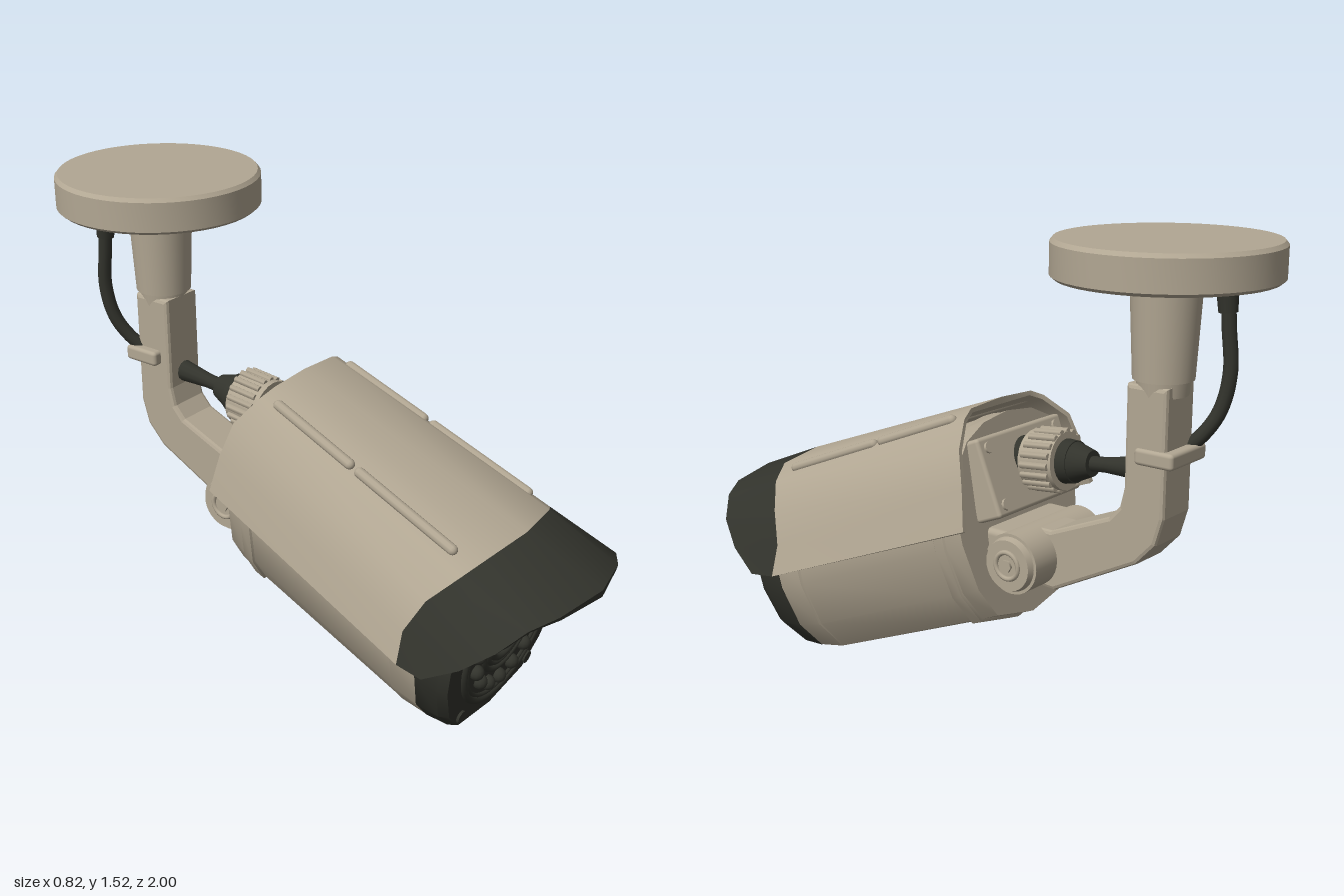
import * as THREE from 'three';
import { toCreasedNormals } from 'three/addons/utils/BufferGeometryUtils.js';
import { RoundedBoxGeometry } from 'three/addons/geometries/RoundedBoxGeometry.js';

const V = (x, y, z) => new THREE.Vector3(x, y, z);
const material = (name, color) => {
  const m = new THREE.MeshStandardMaterial({ color });
  m.name = name;
  return m;
};

// Skin through rings of equal even length, counter-clockwise seen from +z, ordered rear to front
function loft(rings, crease = 0.6) {
  const n = rings[0].length, pos = [], idx = [];
  rings.forEach(r => r.forEach(p => pos.push(p.x, p.y, p.z)));
  for (let i = 0; i < rings.length - 1; i++) {
    for (let j = 0; j < n; j++) {
      const a = i * n + j, b = i * n + (j + 1) % n;
      idx.push(a, b, b + n, a, b + n, a + n);
    }
  }
  const f = (rings.length - 1) * n;
  for (let k = 0; k < n / 2 - 1; k++) {
    const a = k, b = k + 1, c = n - 2 - k, d = n - 1 - k;
    idx.push(a, c, b, a, d, c);
    idx.push(f + a, f + b, f + c, f + a, f + c, f + d);
  }
  const g = new THREE.BufferGeometry();
  g.setAttribute('position', new THREE.Float32BufferAttribute(pos, 3));
  g.setIndex(idx);
  g.computeVertexNormals();
  return toCreasedNormals(g, crease);
}

// Housing cross-section: leaning slice centred on the sloping axis
const HALF = [[0, -1], [0.58, -0.9], [0.82, -0.62], [0.97, -0.2], [1, 0.1], [0.93, 0.5], [0.7, 0.8], [0.4, 0.95], [0, 1]];
function slice([z, rx, down, up]) {
  const full = [...HALF, ...HALF.slice(1, -1).reverse().map(([x, y]) => [-x, y])];
  const cy = 0.598 - 0.414 * z;
  return full.map(([x, y]) => {
    const dy = y * (y < 0 ? down : up);
    return V(x * rx, cy + dy, z + 0.17 * dy);
  });
}

// Shroud edge: half a curve mirrored, closed by an inner skin
function shellRing(half) {
  const right = half.slice().reverse();
  const outer = [...right, ...half.slice(1).map(([x, y, z]) => [-x, y, z])];
  const inner = outer.slice().reverse().map(([x, y, z]) => [x * 0.95, y - 0.022 * (1 - Math.abs(x) / 0.42), z]);
  return [...outer, ...inner].map(p => V(...p));
}

export function createModel() {
  const root = new THREE.Group();
  root.name = 'securityCamera';
  const tan = material('warm grey paint', 0xb2a793);
  const dark = material('dark plastic', 0x32332c);
  const glass = material('lens glass', 0x44453d);

  const add = (name, geo, mat, parent = root) => {
    const m = new THREE.Mesh(geo, mat);
    m.name = name;
    parent.add(m);
    return m;
  };
  // Cylinder running from p (radius r1) to q (radius r2)
  const rod = (name, p, q, r1, r2, mat, parent = root, seg = 24) => {
    const m = add(name, new THREE.CylinderGeometry(r2, r1, p.distanceTo(q), seg), mat, parent);
    m.position.copy(p).lerp(q, 0.5);
    m.quaternion.setFromUnitVectors(V(0, 1, 0), q.clone().sub(p).normalize());
    return m;
  };

  // Ceiling plate and tapered post
  const PZ = -0.665;
  const plate = [[0, 1.41], [0.318, 1.41], [0.33, 1.42], [0.33, 1.513], [0.32, 1.525], [0, 1.525]].map(p => new THREE.Vector2(...p));
  add('ceilingPlate', toCreasedNormals(new THREE.LatheGeometry(plate, 48), 0.6), tan).position.z = PZ;
  for (let i = 0; i < 3; i++) {
    const a = i * Math.PI * 2 / 3 + Math.PI / 2, x = 0.25 * Math.cos(a), z = PZ + 0.25 * Math.sin(a);
    rod('plateScrew', V(x, 1.402, z), V(x, 1.415, z), 0.02, 0.02, tan, root, 12);
  }
  rod('post', V(0, 1.125, PZ), V(0, 1.415, PZ), 0.09, 0.105, tan);
  rod('postNeck', V(0, 1.08, PZ), V(0, 1.13, PZ), 0.075, 0.08, tan);

  // Bent arm
  const side = [[-0.26, 0.44], [-0.34, 0.435], [-0.63, 0.585], [-0.69, 0.65], [-0.713, 0.73], [-0.713, 1.1],
    [-0.6, 1.1], [-0.6, 0.8], [-0.585, 0.735], [-0.545, 0.69], [-0.33, 0.6], [-0.26, 0.6]];
  const arm = new THREE.ExtrudeGeometry(new THREE.Shape(side.map(p => new THREE.Vector2(...p))),
    { depth: 0.126, bevelEnabled: true, bevelSize: 0.012, bevelThickness: 0.012, bevelSegments: 2 });
  arm.rotateY(-Math.PI / 2).translate(0.063, 0, 0);
  add('arm', arm, tan);
  add('cableClip', new RoundedBoxGeometry(0.19, 0.05, 0.13, 2, 0.012), tan).position.set(-0.01, 0.905, -0.69);

  // Pivot knuckle with a screw on either end
  rod('pivotKnuckle', V(-0.18, 0.52, -0.26), V(0.18, 0.52, -0.26), 0.096, 0.096, tan, root, 32);
  add('pivotLug', new RoundedBoxGeometry(0.34, 0.16, 0.14, 2, 0.02), tan).position.set(0, 0.53, -0.2);
  for (const s of [-1, 1]) {
    rod('pivotCap', V(s * 0.17, 0.52, -0.26), V(s * 0.2, 0.52, -0.26), 0.09, 0.08, tan, root, 32);
    const ring = add('pivotScrew', new THREE.TorusGeometry(0.042, 0.008, 8, 24), tan);
    ring.position.set(s * 0.2, 0.52, -0.26);
    ring.rotation.y = Math.PI / 2;
    rod('pivotScrewCore', V(s * 0.19, 0.52, -0.26), V(s * 0.208, 0.52, -0.26), 0.02, 0.02, tan, root, 6);
  }

  // Housing and front bezel
  const housing = [[-0.15, 0.3, 0.36, 0.28], [-0.095, 0.31, 0.36, 0.28], [-0.09, 0.315, 0.37, 0.285], [-0.055, 0.315, 0.37, 0.285],
    [-0.05, 0.31, 0.36, 0.28], [0.5, 0.343, 0.36, 0.28], [0.505, 0.35, 0.358, 0.28], [0.6, 0.35, 0.338, 0.275]];
  add('housing', loft(housing.map(slice), 0.45), tan);
  const bezel = [[0.595, 0.352, 0.34, 0.278], [0.67, 0.348, 0.312, 0.27], [0.7, 0.335, 0.287, 0.26]];
  add('bezel', loft(bezel.map(slice), 0.45), dark);

  // Lens face
  const face = new THREE.Group();
  face.name = 'lensFace';
  face.position.set(0, 0.32, 0.705);
  face.rotation.x = 0.17;
  root.add(face);
  for (const [r, t] of [[0.25, 0.012], [0.232, 0.007], [0.142, 0.01], [0.12, 0.008], [0.1, 0.012]]) {
    add('faceRing', new THREE.TorusGeometry(r, t, 8, 48), dark, face);
  }
  const lens = add('lens', new THREE.SphereGeometry(0.074, 28, 16), glass, face);
  lens.scale.z = 0.45;
  for (let i = 0; i < 16; i++) {
    const a = i * Math.PI / 8;
    const led = add('infraredLamp', new THREE.SphereGeometry(0.025, 12, 8), dark, face);
    led.position.set(0.187 * Math.cos(a), 0.187 * Math.sin(a), 0.004);
  }
  for (const s of [-1, 1]) rod('bezelScrew', V(s * 0.2, -0.235, -0.02), V(s * 0.2, -0.235, 0.006), 0.022, 0.022, dark, face, 12);

  // Sun shroud and dark visor
  const rear = [[0, 0.98, -0.08], [0.15, 0.972, -0.08], [0.2, 0.95, -0.095], [0.28, 0.88, -0.14], [0.31, 0.77, -0.175], [0.335, 0.65, -0.2]];
  const seam = [[0, 0.672, 0.745], [0.18, 0.658, 0.72], [0.26, 0.62, 0.68], [0.335, 0.55, 0.61], [0.375, 0.45, 0.56], [0.405, 0.35, 0.56]];
  const lip = [[0, 0.565, 1], [0.18, 0.55, 0.96], [0.27, 0.53, 0.91], [0.34, 0.47, 0.85], [0.385, 0.4, 0.76], [0.412, 0.34, 0.65]];
  add('shroud', loft([rear, seam].map(shellRing)), tan);
  add('visor', loft([seam, lip].map(shellRing)), dark);

  // Shroud ribs
  for (const s of [-1, 1]) {
    const from = V(s * 0.185, 0.958, -0.09), to = V(s * 0.222, 0.638, 0.7);
    for (const [t0, t1] of [[0.07, 0.42], [0.47, 0.9]]) {
      const a = from.clone().lerp(to, t0), b = from.clone().lerp(to, t1);
      const rib = add('shroudRib', new THREE.CapsuleGeometry(0.017, a.distanceTo(b), 4, 10), tan);
      rib.position.copy(a).lerp(b, 0.5);
      rib.quaternion.setFromUnitVectors(V(0, 1, 0), b.sub(a).normalize());
    }
  }

  // Rear plate with corner screws
  const back = new THREE.Group();
  back.name = 'rearPlate';
  back.position.set(0, 0.765, -0.15);
  back.rotation.x = 0.39;
  root.add(back);
  add('plateBlock', new RoundedBoxGeometry(0.42, 0.25, 0.1, 2, 0.012), tan, back);
  for (const x of [-0.17, 0.17]) for (const y of [-0.09, 0.09]) {
    rod('rearScrew', V(x, y, -0.04), V(x, y, -0.058), 0.018, 0.018, tan, back, 10);
  }

  // Cable gland: collar, ribbed nut and boot
  const at = z => V(0, 0.785 - 0.1 * z, z);
  rod('glandCollar', at(-0.16), at(-0.23), 0.068, 0.068, dark);
  rod('glandNut', at(-0.215), at(-0.335), 0.092, 0.09, tan);
  for (let i = 0; i < 18; i++) {
    const a = i * Math.PI / 9, o = V(0.091 * Math.cos(a), 0.091 * Math.sin(a), 0);
    rod('nutRib', at(-0.225).add(o), at(-0.325).add(o), 0.011, 0.011, tan, root, 6);
  }
  rod('glandSeal', at(-0.33), at(-0.37), 0.07, 0.065, dark);
  rod('glandBoot', at(-0.37), at(-0.43), 0.062, 0.04, dark);
  rod('lead', at(-0.42), at(-0.5), 0.024, 0.024, dark, root, 12);
  rod('leadFlare', at(-0.48), at(-0.605), 0.024, 0.037, dark, root, 12);

  // Cable from the plate down to the clip
  const path = new THREE.CatmullRomCurve3([V(-0.13, 1.4, -0.785), V(-0.13, 1.27, -0.795), V(-0.128, 1.14, -0.807),
    V(-0.112, 1.03, -0.79), V(-0.085, 0.96, -0.755), V(-0.05, 0.9, -0.7)]);
  add('cable', new THREE.TubeGeometry(path, 32, 0.022, 10), dark);
  rod('cableGrommet', V(-0.13, 1.36, -0.785), V(-0.13, 1.412, -0.785), 0.036, 0.042, dark, root, 14);
  rod('cableSleeve', V(-0.13, 1.31, -0.79), V(-0.13, 1.37, -0.785), 0.028, 0.032, dark, root, 14);

  return root;
}
